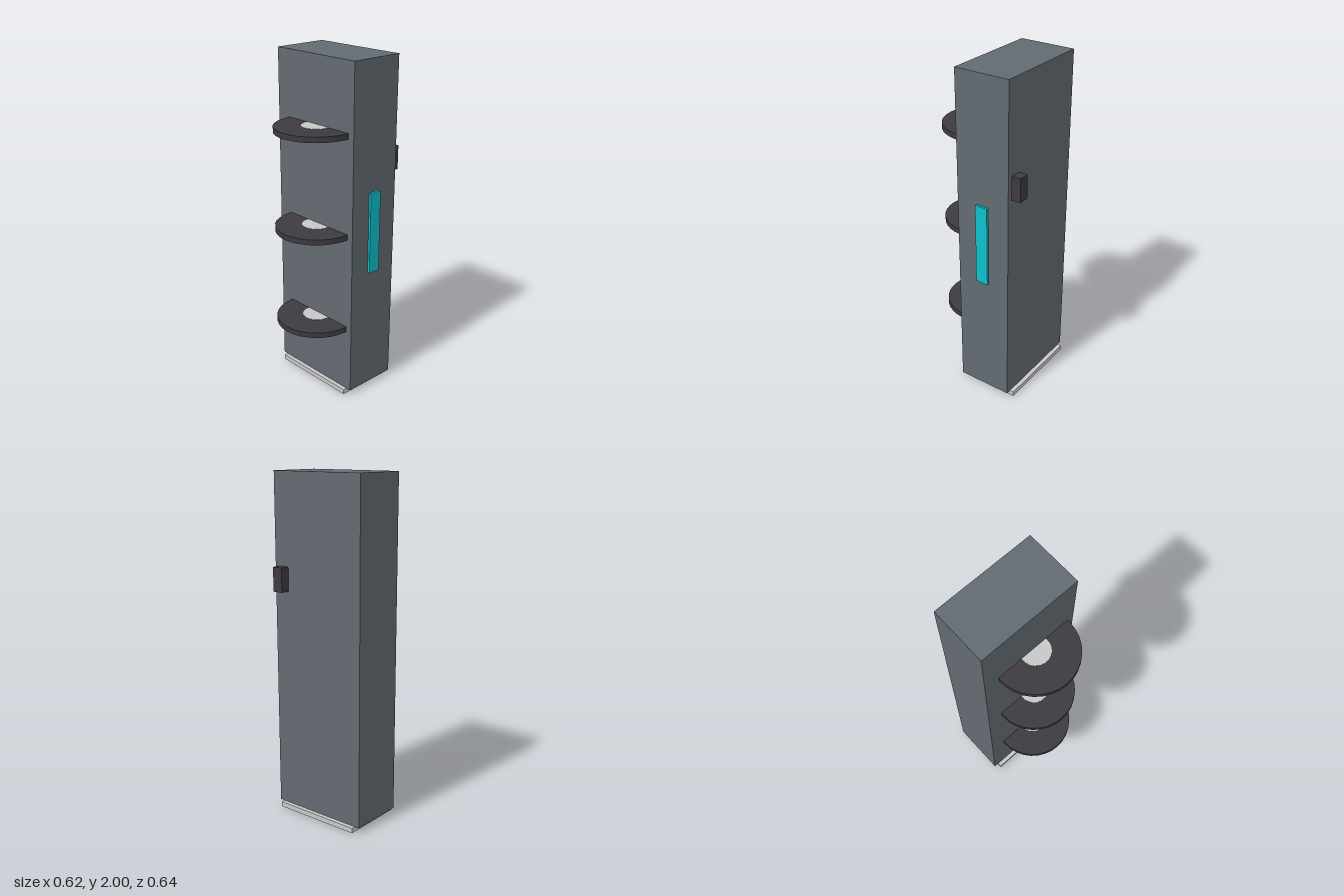
import * as THREE from 'three';

const paint = (name, color) => {
  const m = new THREE.MeshStandardMaterial({ color });
  m.name = name;
  return m;
};

export function createModel() {
  const slate = paint('slate', 0x636b72);
  const charcoal = paint('charcoal', 0x3d3a41);
  const silver = paint('silver', 0xc8c8c8);
  const cyan = paint('cyan', 0x10c0cc);
  const model = new THREE.Group();
  model.name = 'tower';

  // Box given by its lower and upper limits on each axis
  const box = (name, material, [x0, x1], [y0, y1], [z0, z1]) => {
    const mesh = new THREE.Mesh(new THREE.BoxGeometry(x1 - x0, y1 - y0, z1 - z0), material);
    mesh.position.set((x0 + x1) / 2, (y0 + y1) / 2, (z0 + z1) / 2);
    mesh.name = name;
    model.add(mesh);
  };

  box('cabinet', slate, [-0.311, 0.296], [0.03, 2], [-0.268, 0.067]);
  box('base', silver, [-0.281, 0.266], [0, 0.03], [-0.293, 0.092]);
  box('sidePanel', cyan, [0.296, 0.31], [0.772, 1.258], [-0.138, -0.061]);
  box('rearLatch', charcoal, [0.2, 0.265], [1.333, 1.473], [-0.323, -0.268]);

  // Three discs half sunk into the front, each with a pale hub
  const discGeometry = new THREE.CylinderGeometry(0.239, 0.239, 0.032, 32);
  const hubGeometry = new THREE.CylinderGeometry(0.084, 0.084, 0.035, 32);
  for (const y of [0.434, 1.017, 1.599]) {
    const disc = new THREE.Group();
    disc.name = 'disc';
    const plate = new THREE.Mesh(discGeometry, charcoal);
    plate.name = 'discPlate';
    const hub = new THREE.Mesh(hubGeometry, silver);
    hub.name = 'discHub';
    disc.add(plate, hub);
    disc.position.set(0.019, y, 0.081);
    model.add(disc);
  }
  return model;
}
